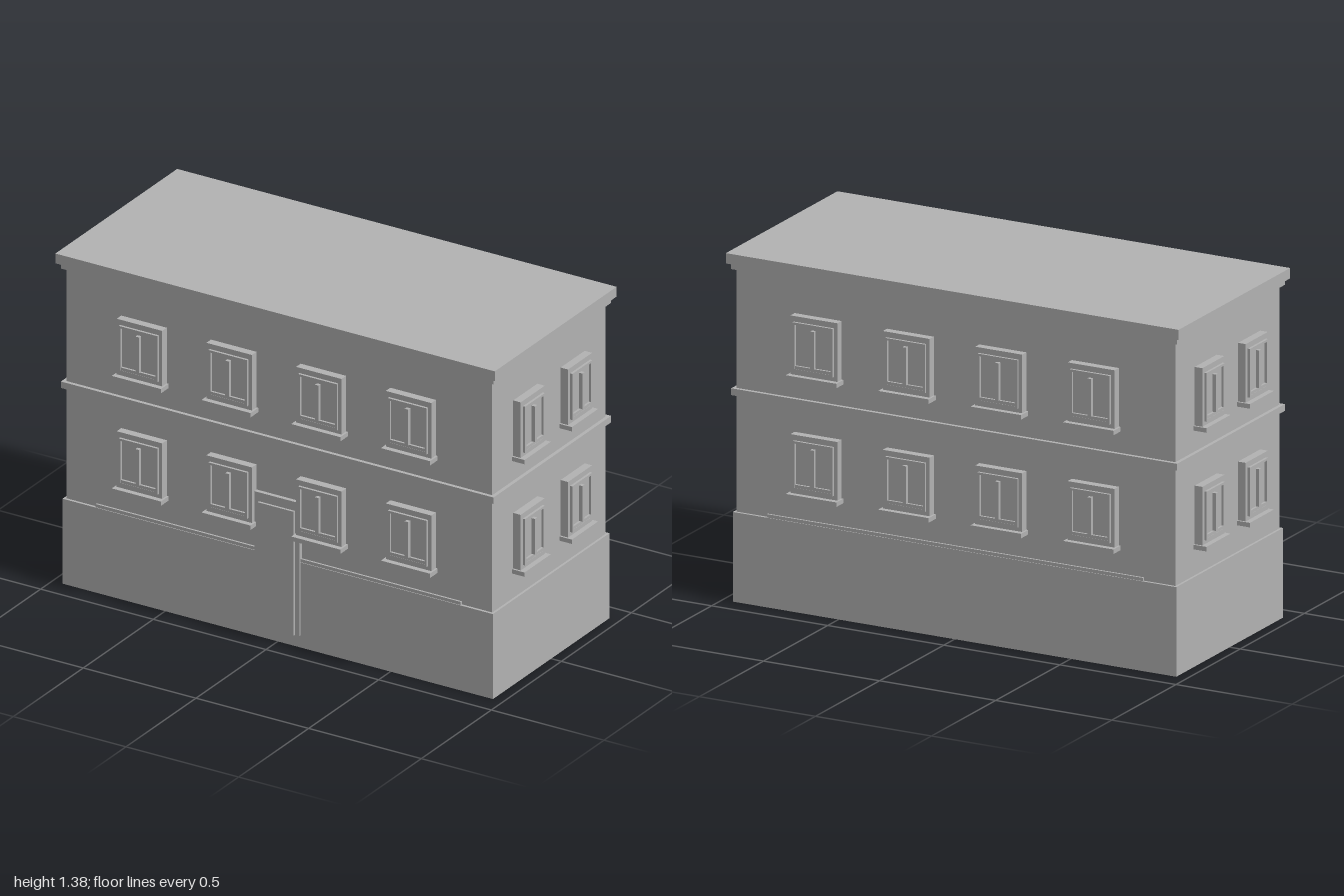
import * as THREE from 'three';

const stone = new THREE.MeshStandardMaterial({ color: 0xb2b2b2 });
stone.name = 'grey stone';

// Box given by its lower and upper limits on each axis
function block(parent, name, x0, x1, y0, y1, z0, z1) {
  const mesh = new THREE.Mesh(new THREE.BoxGeometry(x1 - x0, y1 - y0, z1 - z0), stone);
  mesh.position.set((x0 + x1) / 2, (y0 + y1) / 2, (z0 + z1) / 2);
  mesh.name = name;
  parent.add(mesh);
  return mesh;
}

// Rectangular ring standing on z = 0
function ring(parent, name, w, y0, y1, t, depth, z) {
  const s = new THREE.Shape();
  s.moveTo(-w / 2, y0).lineTo(w / 2, y0).lineTo(w / 2, y1).lineTo(-w / 2, y1).closePath();
  const h = new THREE.Path();
  const i = w / 2 - t;
  h.moveTo(-i, y0 + t).lineTo(-i, y1 - t).lineTo(i, y1 - t).lineTo(i, y0 + t).closePath();
  s.holes.push(h);
  const mesh = new THREE.Mesh(new THREE.ExtrudeGeometry(s, { depth, bevelEnabled: false }), stone);
  mesh.position.z = z;
  mesh.name = name;
  parent.add(mesh);
}

// Window facing +z; local z = 0 is the wall, y = 0 the sill's underside
function makeWindow(w) {
  const g = new THREE.Group();
  g.name = 'window';
  block(g, 'windowSill', -w / 2 - 0.008, w / 2 + 0.008, 0, 0.018, -0.01, 0.055);
  block(g, 'windowSurround', -w / 2, w / 2, 0.018, 0.25, -0.01, 0.033);
  ring(g, 'windowFrame', w - 0.03, 0.035, 0.228, 0.009, 0.01, 0.033);
  block(g, 'windowRail', -w / 2 + 0.022, w / 2 - 0.022, 0.044, 0.056, 0.03, 0.042);
  block(g, 'windowMullion', -0.008, 0.008, 0.056, 0.205, 0.03, 0.048);
  return g;
}

export function createModel() {
  const building = new THREE.Group();
  building.name = 'building';

  // Main volume, stacked from the ground up
  const tiers = [
    ['base', 0.955, 0.416, 0, 0.355],
    ['walls', 0.945, 0.405, 0.355, 1.32],
    ['floorBand', 0.96, 0.42, 0.818, 0.845],
    ['lowerCornice', 0.96, 0.42, 1.317, 1.341],
    ['roofCornice', 0.975, 0.435, 1.341, 1.382],
  ];
  for (const [name, x, z, y0, y1] of tiers) block(building, name, -x, x, y0, y1, -z, z);

  // Low ledges on the base, broken at the front by the door
  block(building, 'backLedge', -0.81, 0.81, 0.35, 0.368, -0.413, -0.4);
  for (const s of [-1, 1]) {
    block(building, 'frontLedge', s < 0 ? -0.81 : 0.1, s < 0 ? -0.1 : 0.81, 0.35, 0.368, 0.4, 0.413);
  }

  // Entrance
  block(building, 'doorSurround', -0.1, 0.1, 0.05, 0.605, 0.4, 0.422);
  block(building, 'door', -0.08, 0.08, 0.05, 0.568, 0.4, 0.432);

  // Windows: four per storey on the long sides, two on the short sides
  for (const y of [0.46, 0.93]) {
    for (const s of [-1, 1]) {
      for (const x of [-0.6, -0.202, 0.196, 0.594]) {
        const win = makeWindow(0.202);
        win.position.set(x, y, s * 0.405);
        win.rotation.y = s > 0 ? 0 : Math.PI;
        building.add(win);
      }
      for (const z of [-0.169, 0.169]) {
        const win = makeWindow(0.172);
        win.position.set(s * 0.945, y, z);
        win.rotation.y = (s * Math.PI) / 2;
        building.add(win);
      }
    }
  }
  return building;
}
